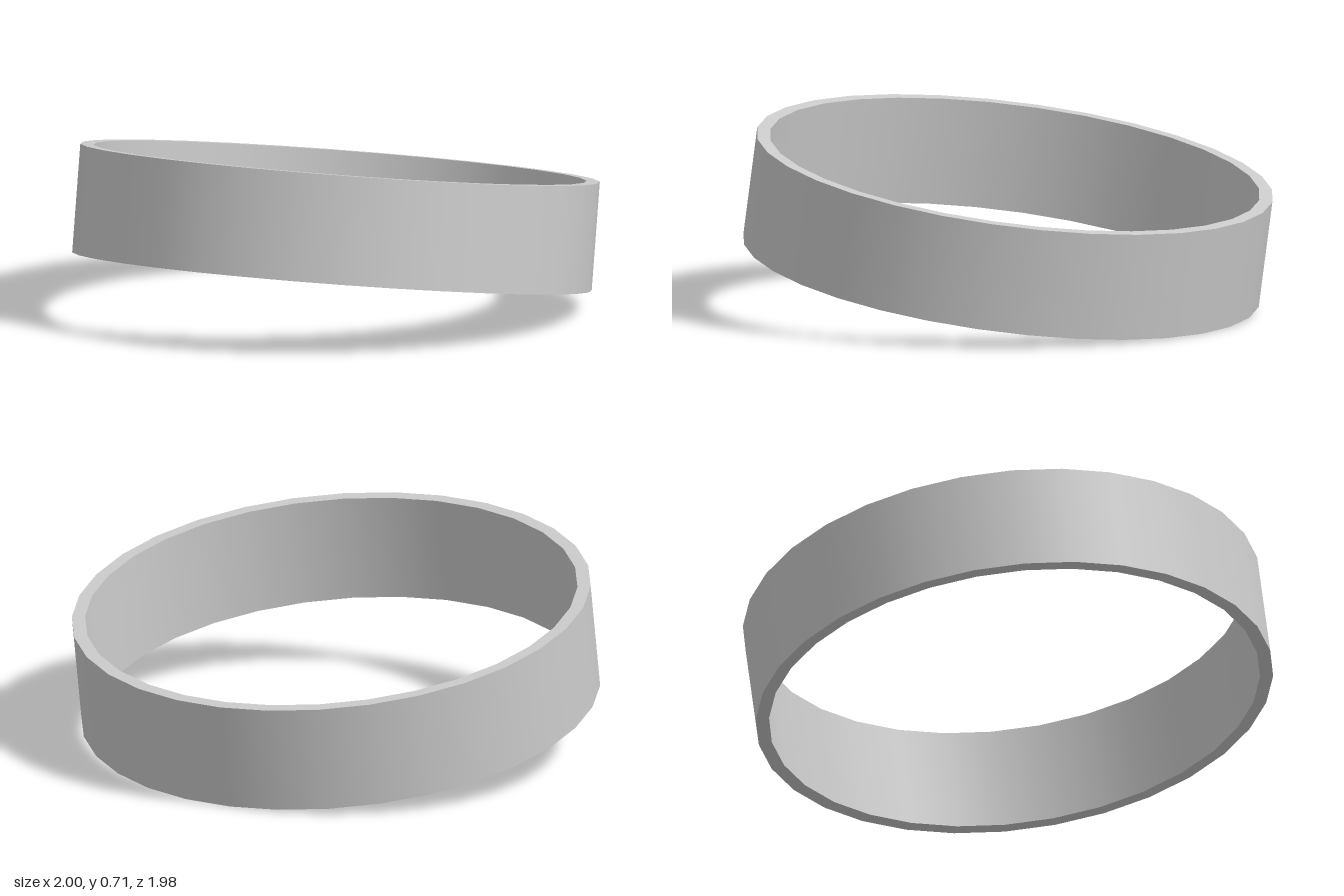
import * as THREE from 'three';
import { mergeGeometries } from 'three/addons/utils/BufferGeometryUtils.js';

export function createModel() {
  const group = new THREE.Group();
  const outer = 0.98, inner = 0.93, half = 0.205, sides = 32;

  // Rectangular wall section, counter-clockwise; each side is lathed alone so its edges stay sharp
  const section = [[outer, -half], [outer, half], [inner, half], [inner, -half]]
    .map(([r, y]) => new THREE.Vector2(r, y));
  const walls = section.map((p, i) =>
    new THREE.LatheGeometry([p, section[(i + 1) % 4]], sides, Math.PI - 0.045));

  const band = new THREE.Mesh(
    mergeGeometries(walls),
    new THREE.MeshStandardMaterial({ color: 0xcccccc })
  );
  band.name = 'ringBand';

  // Tilt the ring: its axis leans to the left and slightly back
  const axis = new THREE.Vector3(0.143, 0.988, -0.06).normalize();
  band.quaternion.setFromUnitVectors(new THREE.Vector3(0, 1, 0), axis);
  band.position.y = 0.355;
  group.add(band);
  return group;
}
